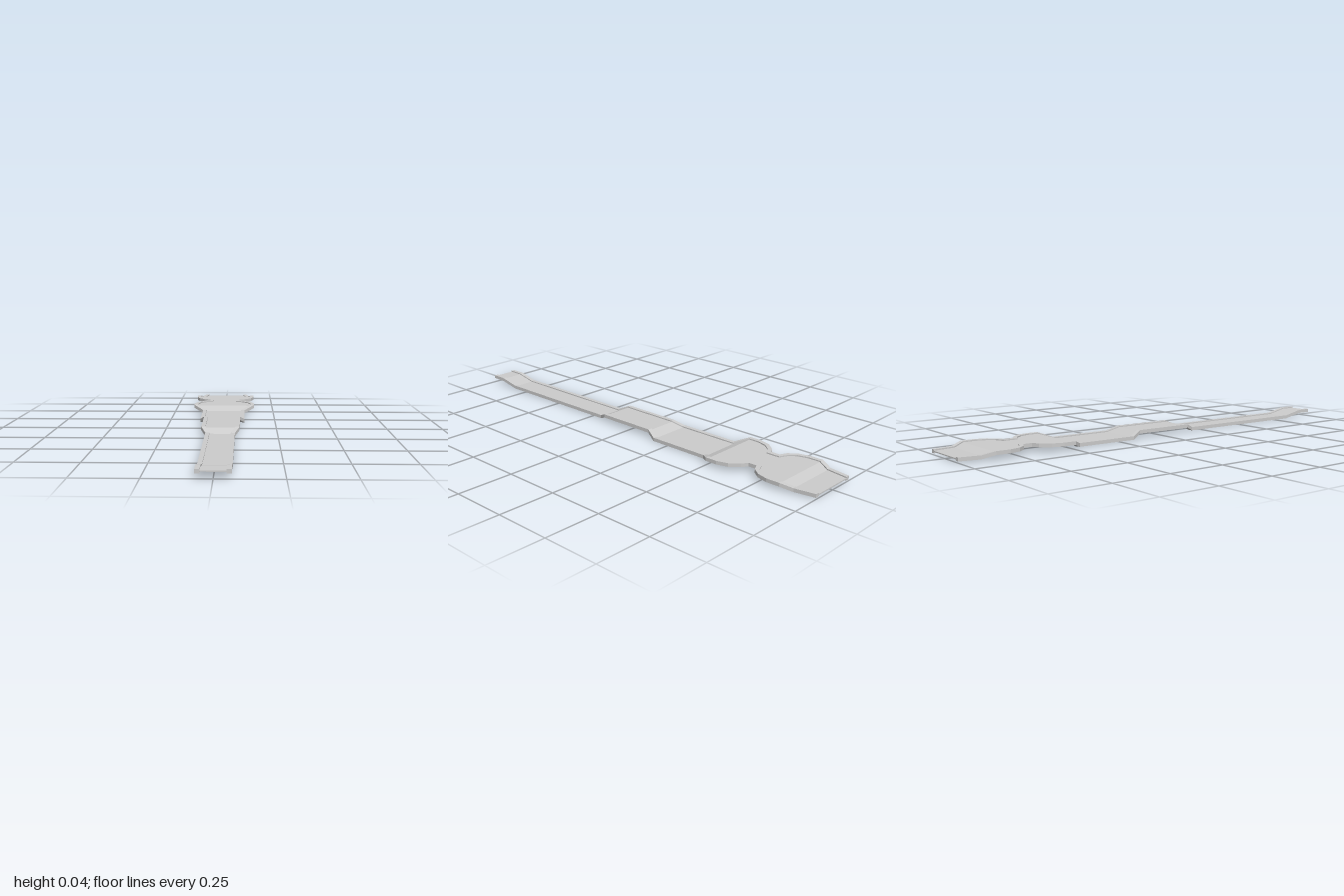
import * as THREE from 'three';

// Stations from back to front: [z, half width, height of the lower face]
const HIGH = 0.0195;
const STATIONS = [
  [-1, 0.115, 0.006], [-0.91, 0.13, 0.006], [-0.86, 0.152, HIGH], [-0.8, 0.152, HIGH],
  [-0.75, 0.138, HIGH], [-0.715, 0.11, HIGH], [-0.7, 0.078, HIGH], [-0.66, 0.078, HIGH],
  [-0.645, 0.105, HIGH], [-0.605, 0.138, HIGH], [-0.555, 0.152, HIGH], [-0.5, 0.152, HIGH],
  [-0.45, 0.105, 0], [-0.17, 0.105, 0], [-0.12, 0.084, HIGH], [0.155, 0.084, HIGH],
  [0.2, 0.064, 0], [0.835, 0.064, 0], [0.93, 0.064, HIGH], [1, 0.064, HIGH],
];
const RIM_WIDTH = 0.018, RIM_HEIGHT = 0.0155;
const PLATE_LOW = 0.0055, PLATE_HIGH = 0.0105;

// Mitred inset of the outline, so the rim keeps its width around the curves
function insetPoint(i) {
  const [z, w] = STATIONS[i];
  if (i === 0 || i === STATIONS.length - 1) return [w - RIM_WIDTH, z];
  const normal = (a, b) =>
    new THREE.Vector2(-(b[0] - a[0]), b[1] - a[1]).normalize();
  const n1 = normal(STATIONS[i - 1], STATIONS[i]);
  const n2 = normal(STATIONS[i], STATIONS[i + 1]);
  const m = n1.clone().add(n2).normalize();
  const d = RIM_WIDTH / Math.max(0.6, m.dot(n1));
  return [w + m.x * d, z + m.y * d];
}

// Joins four-cornered sections (counter-clockwise seen from +z) into a closed bar
function sweep(name, sections, material) {
  const positions = sections.flat(2), index = [];
  const last = (sections.length - 1) * 4;
  for (let i = 0; i < last; i += 4) {
    for (let j = 0; j < 4; j++) {
      const a = i + j, b = i + ((j + 1) % 4);
      index.push(a, b, b + 4, a, b + 4, a + 4);
    }
  }
  index.push(0, 2, 1, 0, 3, 2, last, last + 1, last + 2, last, last + 2, last + 3);
  const indexed = new THREE.BufferGeometry();
  indexed.setAttribute('position', new THREE.Float32BufferAttribute(positions, 3));
  indexed.setIndex(index);
  const geometry = indexed.toNonIndexed();
  geometry.computeVertexNormals();
  const mesh = new THREE.Mesh(geometry, material);
  mesh.name = name;
  return mesh;
}

export function createModel() {
  const group = new THREE.Group();
  group.name = 'track';
  const material = new THREE.MeshStandardMaterial({ color: 0xcccccc, flatShading: true });
  const inner = STATIONS.map((_, i) => insetPoint(i));

  // Thin stepped plate between the rims
  group.add(sweep('trackBed', STATIONS.map(([, , y], i) => {
    const [x, z] = inner[i];
    const lo = y + PLATE_LOW, hi = y + PLATE_HIGH;
    return [[-x, lo, z], [x, lo, z], [x, hi, z], [-x, hi, z]];
  }), material));

  // Raised rims, standing out above and below the plate
  for (const side of [1, -1]) {
    const sections = STATIONS.map(([z, w, y], i) => {
      const [x, zi] = inner[i];
      const top = y + RIM_HEIGHT;
      const ring = [[side * x, y, zi], [side * w, y, z], [side * w, top, z], [side * x, top, zi]];
      return side > 0 ? ring : ring.reverse();
    });
    group.add(sweep(side > 0 ? 'leftRim' : 'rightRim', sections, material));
  }
  return group;
}
